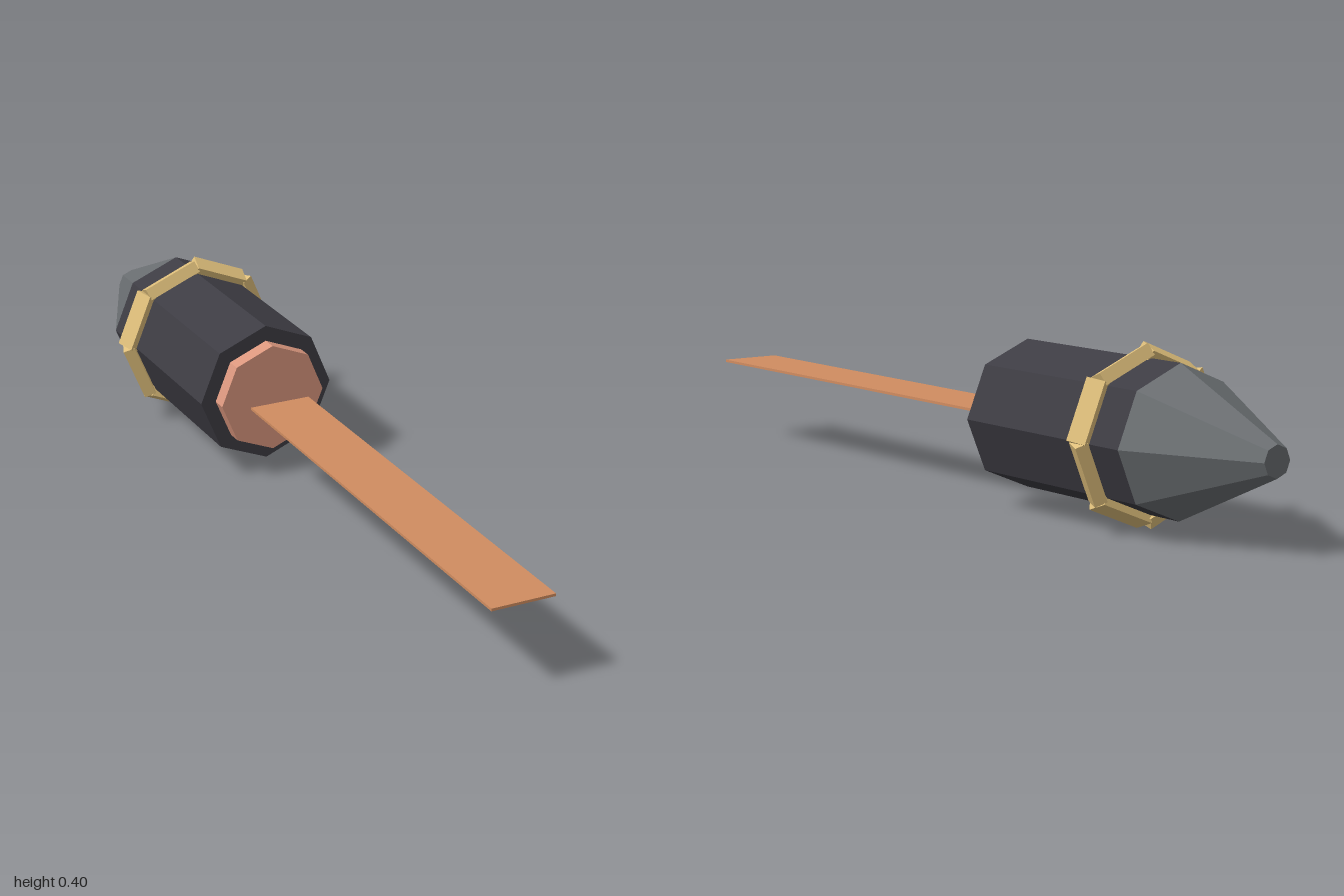
import * as THREE from 'three';

const AXIS_Y = 0.202;

function paint(name, color) {
  const m = new THREE.MeshStandardMaterial({ color, flatShading: true });
  m.name = name;
  return m;
}

export function createModel() {
  const group = new THREE.Group();
  group.name = 'rocket';
  const charcoal = paint('charcoal', 0x3d3c43);
  const grey = paint('grey', 0x6b6f72);
  const gold = paint('gold', 0xdfbf7b);
  const salmon = paint('salmon', 0xdb977e);
  const wood = paint('wood', 0xd08c60);

  // Eight-sided section along z, from its front end to its back end
  function section(name, rFront, rBack, zFront, zBack, material) {
    const geo = new THREE.CylinderGeometry(rFront, rBack, zFront - zBack, 8);
    geo.rotateX(Math.PI / 2);
    const mesh = new THREE.Mesh(geo, material);
    mesh.name = name;
    mesh.position.set(0, AXIS_Y, (zFront + zBack) / 2);
    group.add(mesh);
  }
  section('body', 0.167, 0.167, -0.185, -0.705, charcoal);
  section('noseCone', 0.167, 0.035, -0.705, -1, grey);
  section('nozzle', 0.13, 0.13, -0.148, -0.19, salmon);

  // Ring of eight bars, tilted alternately outward and inward
  const ring = new THREE.Group();
  ring.name = 'bandRing';
  ring.position.set(0, AXIS_Y, -0.592);
  const barGeo = new THREE.BoxGeometry(0.14, 0.029, 0.045);
  for (let i = 0; i < 8; i++) {
    const holder = new THREE.Group();
    holder.name = 'bandSegment';
    holder.rotation.z = (i + 0.5) * Math.PI / 4;
    const bar = new THREE.Mesh(barGeo, gold);
    bar.name = 'bandBar';
    bar.position.y = 0.165;
    bar.rotation.x = (i % 2 ? 1 : -1) * Math.PI / 8;
    holder.add(bar);
    ring.add(holder);
  }
  group.add(ring);

  // Thin guide stick, set a little apart from the nozzle
  const stick = new THREE.Mesh(new THREE.BoxGeometry(0.148, 0.006, 1.11), wood);
  stick.name = 'guideStick';
  stick.position.set(0, AXIS_Y, 0.445);
  group.add(stick);

  return group;
}
